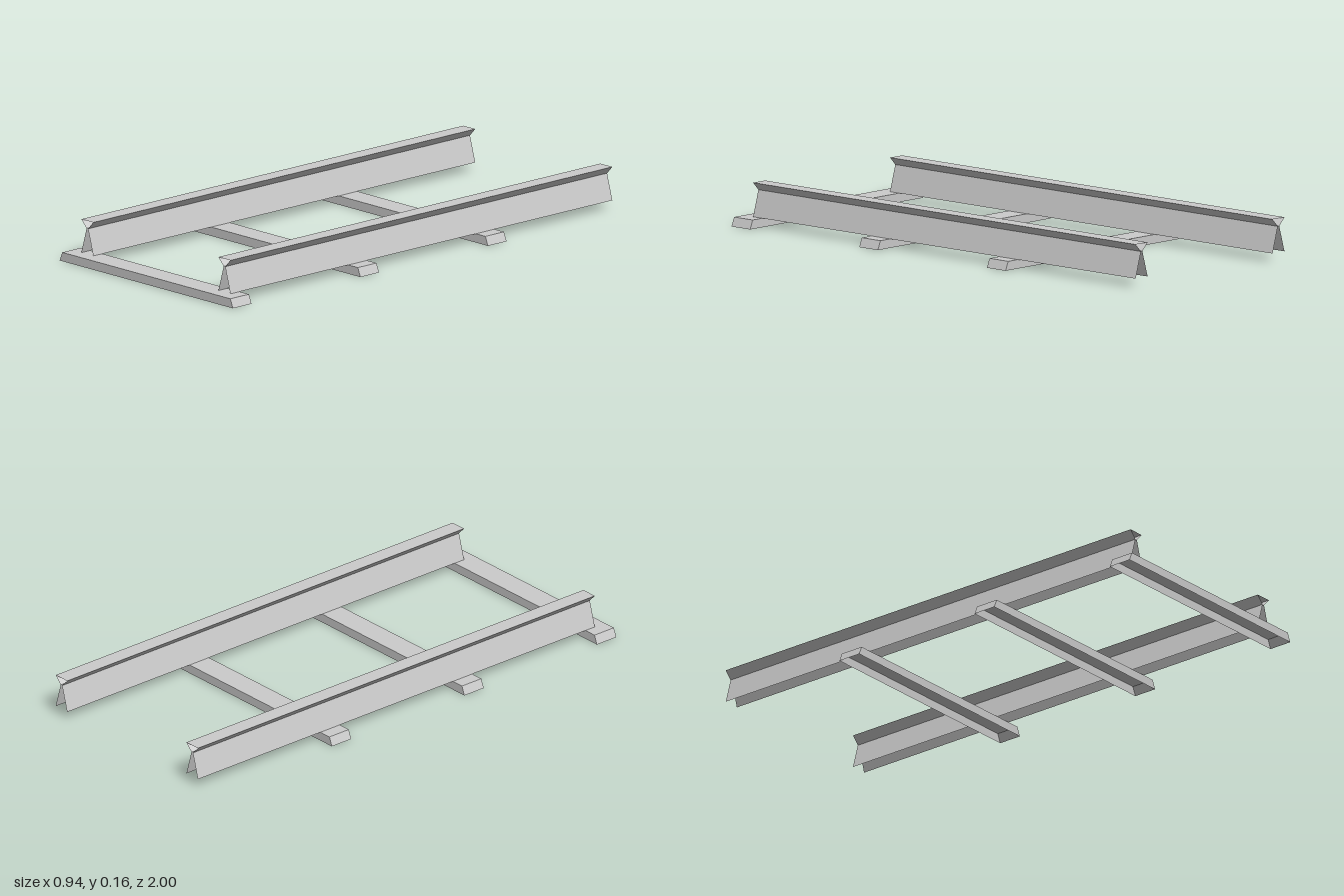
import * as THREE from 'three';

const grey = new THREE.MeshStandardMaterial({ color: 0xcccccc, flatShading: true, side: THREE.DoubleSide });

// Sleeper: a box with slanted ends and an open underside
function sleeperGeometry(bottomHalf, topHalf, height, depth) {
  const box = new THREE.BoxGeometry(bottomHalf * 2, height, depth);
  const pos = box.attributes.position;
  for (let i = 0; i < pos.count; i++) {
    if (pos.getY(i) > 0) pos.setX(i, Math.sign(pos.getX(i)) * topHalf);
  }
  const faces = Array.from(box.index.array);
  faces.splice(18, 6); // drop the bottom face
  box.setIndex(faces);
  box.clearGroups();
  const geometry = box.toNonIndexed();
  geometry.translate(0, height / 2, 0);
  geometry.computeVertexNormals();
  return geometry;
}

// Rail: an open profile swept along z, without end caps
function railGeometry(profile, zBack, zFront) {
  const points = [];
  for (let i = 0; i < profile.length - 1; i++) {
    const [ax, ay] = profile[i];
    const [bx, by] = profile[i + 1];
    points.push(
      ax, ay, zFront, bx, by, zBack, ax, ay, zBack,
      ax, ay, zFront, bx, by, zFront, bx, by, zBack
    );
  }
  const geometry = new THREE.BufferGeometry();
  geometry.setAttribute('position', new THREE.Float32BufferAttribute(points, 3));
  geometry.computeVertexNormals();
  return geometry;
}

export function createModel() {
  const track = new THREE.Group();
  track.name = 'railTrack';

  // Three evenly spaced sleepers
  const sleeper = sleeperGeometry(0.47, 0.456, 0.034, 0.095);
  for (let i = 0; i < 3; i++) {
    const mesh = new THREE.Mesh(sleeper, grey);
    mesh.name = `sleeper${i + 1}`;
    mesh.position.z = 0.9525 - i * 0.6515;
    track.add(mesh);
  }

  // Two rails: flared foot, narrow waist, flat head
  const w = 0.0325, waist = 0.004;
  const profile = [
    [w, 0.034], [waist, 0.133], [w, 0.163],
    [-w, 0.163], [-waist, 0.133], [-w, 0.034],
  ];
  const rail = railGeometry(profile, -1, 0.951);
  for (const [name, side] of [['leftRail', 1], ['rightRail', -1]]) {
    const mesh = new THREE.Mesh(rail, grey);
    mesh.name = name;
    mesh.position.x = side * 0.372;
    track.add(mesh);
  }
  return track;
}
